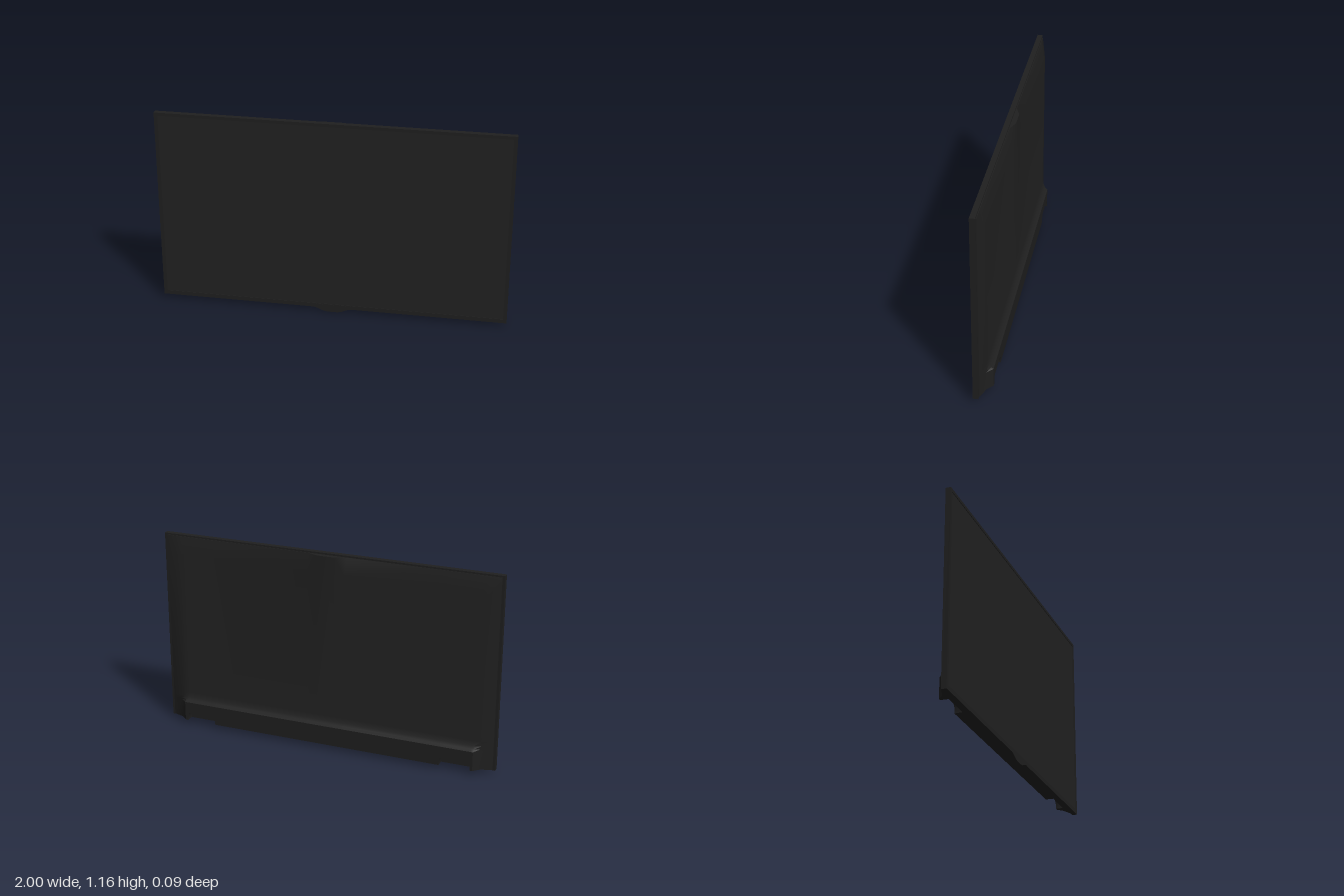
import * as THREE from 'three';
import { toCreasedNormals } from 'three/addons/utils/BufferGeometryUtils.js';

const casing = new THREE.MeshStandardMaterial({ name: 'casing black', color: 0x1f1f1f });
const glass = new THREE.MeshStandardMaterial({ name: 'screen black', color: 0x212121 });

const BACK = 0.015;            // rear plane of the slim front panel
const BOTTOM = 0.025, TOP = 1.165;
const FLAT = 0.028, BULGE = 0.06; // depths of the rear shell and its lower bulge

// One upright cross-section of the rear shell: [y, z] from bottom to top.
// cap = depth limit from the side bevel, notch = top of the foot slot, flush = top bevel removed
function section({ x, cap = BULGE, notch = 0.03, flush = false }) {
  const d = (v) => Math.min(cap, v);
  const slot = notch > 0.03 ? 0.015 : d(BULGE);
  const bevelY = flush ? 1.155 : 1.145 - 0.085 * d(FLAT) / FLAT;
  return [
    [0.03, 0], [0.03, slot], [notch, slot], [notch, d(BULGE)],
    [0.145, d(BULGE)], [0.156, d(0.046)], [0.172, d(0.036)], [0.2, d(FLAT)],
    [bevelY, d(FLAT)], [1.155, flush ? d(FLAT) : d(0.004)], [1.155, 0],
  ].map(([y, depth]) => [x, y, BACK - depth]);
}

// Rear shell lofted from side to side through mirrored sections
function rearShell() {
  const half = [
    { x: 0.05, flush: true }, { x: 0.11 },
    { x: 0.69 }, { x: 0.692, notch: 0.06 }, { x: 0.698, notch: 0.073 }, { x: 0.71, notch: 0.08 },
    { x: 0.85, notch: 0.08 }, { x: 0.862, notch: 0.073 }, { x: 0.868, notch: 0.06 }, { x: 0.87 },
    { x: 0.885 }, { x: 0.92, cap: FLAT }, { x: 0.985, cap: 0.004 }, { x: 0.985, cap: 0 },
  ];
  const mirrored = half.map((s) => ({ ...s, x: -s.x })).reverse();
  const rows = [...mirrored, ...half].map(section);
  const n = rows[0].length, index = [];
  for (let r = 0; r < rows.length - 1; r++) {
    for (let i = 0; i < n - 1; i++) {
      const a = r * n + i, b = a + n;
      index.push(a, a + 1, b, a + 1, b + 1, b);
    }
  }
  const geo = new THREE.BufferGeometry();
  geo.setAttribute('position', new THREE.Float32BufferAttribute(rows.flat(2), 3));
  geo.setIndex(index);
  return toCreasedNormals(geo, 0.45);
}

function rectangle(Type, x, y0, y1) {
  return new Type([[-x, y0], [x, y0], [x, y1], [-x, y1]].map((p) => new THREE.Vector2(...p)));
}

export function createModel() {
  const group = new THREE.Group();
  const add = (name, geo, mat, x = 0, y = 0, z = 0) => {
    const mesh = new THREE.Mesh(geo, mat);
    mesh.name = name;
    mesh.position.set(x, y, z);
    group.add(mesh);
  };

  // Slim bezel around the display
  const frame = rectangle(THREE.Shape, 1, BOTTOM, TOP);
  frame.holes.push(rectangle(THREE.Path, 0.98, BOTTOM + 0.024, TOP - 0.018));
  add('bezel', new THREE.ExtrudeGeometry(frame, { depth: 0.03, bevelEnabled: false }), casing, 0, 0, BACK);

  // Display set slightly behind the bezel
  const h = TOP - BOTTOM;
  add('screen', new THREE.BoxGeometry(1.97, h - 0.03, 0.027), glass, 0, (TOP + BOTTOM) / 2, BACK + 0.0135);

  // Rounded chin under the lower bezel
  const chin = new THREE.Shape();
  chin.moveTo(-0.12, 0.045);
  chin.lineTo(-0.12, 0.026);
  chin.bezierCurveTo(-0.07, 0.022, -0.07, 0.003, -0.025, 0);
  chin.lineTo(0.025, 0);
  chin.bezierCurveTo(0.07, 0.003, 0.07, 0.022, 0.12, 0.026);
  chin.lineTo(0.12, 0.045);
  const chinGeo = new THREE.ExtrudeGeometry(chin, { depth: 0.0305, bevelEnabled: false, curveSegments: 10 });
  add('chin', toCreasedNormals(chinGeo, 0.5), casing, 0, 0, BACK);

  // Bevelled rear shell with lower bulge and foot slots
  add('rearShell', rearShell(), casing);

  return group;
}
